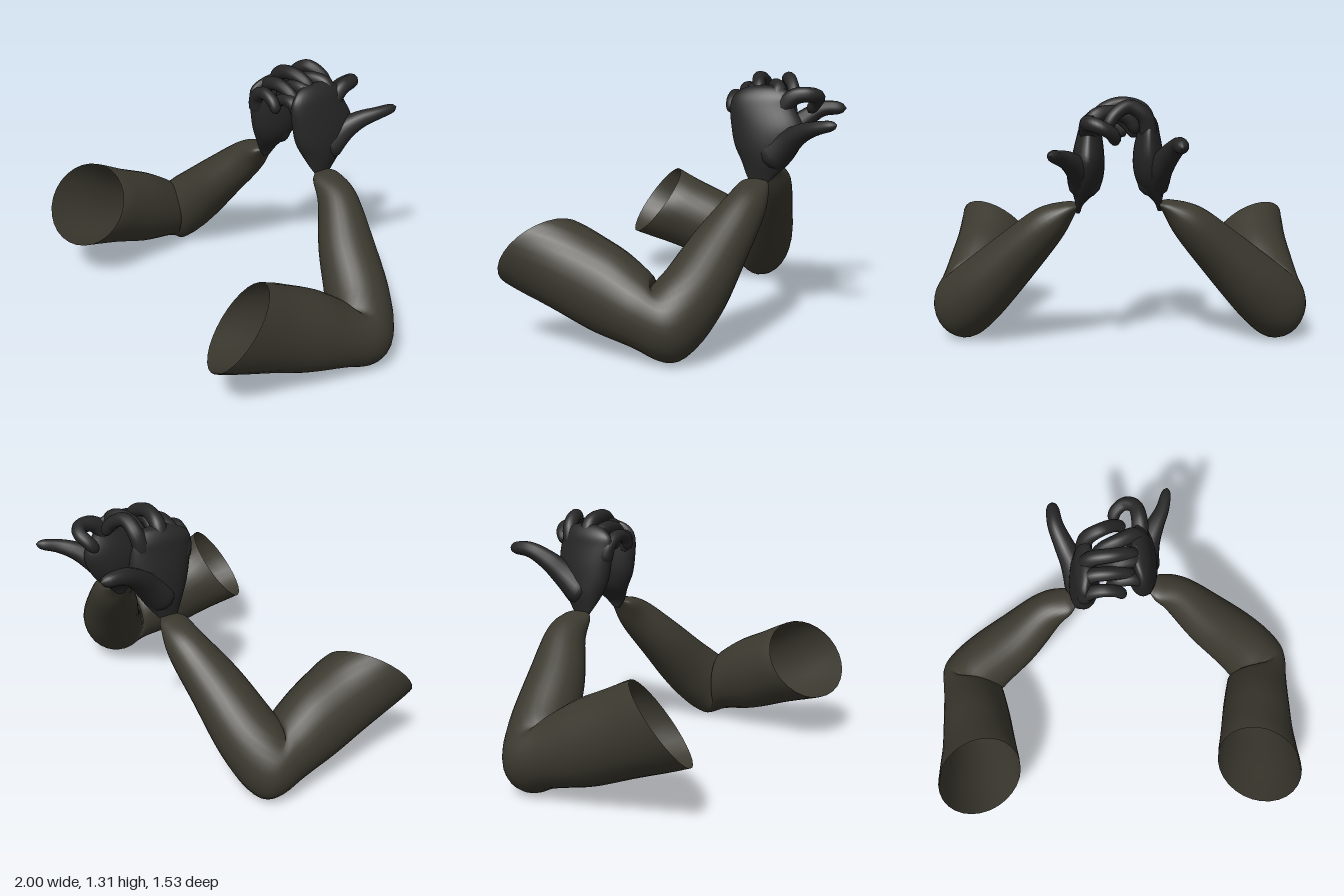
import * as THREE from 'three';
import { mergeVertices } from 'three/addons/utils/BufferGeometryUtils.js';

const V = (x, y, z) => new THREE.Vector3(x, y, z);

// Smooth skin over elliptical sections: [centre, normal, radiusU, radiusV]
function loft(sections, ref, rings, sides = 28) {
  const smooth = (f) => new THREE.CatmullRomCurve3(sections.map(f), false, 'catmullrom', 0.5);
  const centres = smooth((s) => V(...s[0]));
  const normals = smooth((s) => V(...s[1]).normalize());
  const radii = smooth((s) => V(s[2], s[3], 0));
  const pos = [], idx = [];
  for (let i = 0; i <= rings; i++) {
    const t = i / rings;
    const c = centres.getPoint(t), n = normals.getPoint(t).normalize(), r = radii.getPoint(t);
    const u = ref.clone().cross(n).normalize(), v = n.clone().cross(u);
    for (let j = 0; j < sides; j++) {
      const a = (j / sides) * Math.PI * 2;
      const p = c.clone()
        .addScaledVector(u, Math.cos(a) * Math.max(r.x, 0.001))
        .addScaledVector(v, Math.sin(a) * Math.max(r.y, 0.001));
      pos.push(p.x, p.y, p.z);
      if (i < rings) {
        const k = (j + 1) % sides, b = i * sides, d = b + sides;
        idx.push(b + j, b + k, d + j, b + k, d + k, d + j);
      }
    }
  }
  const g = new THREE.BufferGeometry();
  g.setAttribute('position', new THREE.Float32BufferAttribute(pos, 3));
  g.setIndex(idx);
  g.computeVertexNormals();
  return g;
}

// Tapered tube, rounded at both ends
function fingerGeometry(points, r0, r1) {
  const curve = new THREE.CatmullRomCurve3(points.map((p) => V(...p)));
  const N = 32, S = 12;
  const g = new THREE.TubeGeometry(curve, N, 1, S, false);
  const p = g.attributes.position, v = V(0, 0, 0);
  const dome = (d) => Math.sqrt(Math.max(0.002, 1 - (1 - Math.min(1, d)) ** 2));
  for (let i = 0; i <= N; i++) {
    const t = i / N, c = curve.getPointAt(t);
    const r = (r1 + (r0 - r1) * (1 - t) ** 1.5) * dome(t / 0.14) * dome((1 - t) / 0.12);
    for (let j = 0; j <= S; j++) {
      const k = i * (S + 1) + j;
      v.fromBufferAttribute(p, k).sub(c).multiplyScalar(r).add(c);
      p.setXYZ(k, v.x, v.y, v.z);
    }
  }
  g.deleteAttribute('uv');
  g.deleteAttribute('normal');
  const merged = mergeVertices(g, 1e-5);
  merged.computeVertexNormals();
  return merged;
}

export function createModel() {
  const sleeveMat = new THREE.MeshStandardMaterial({ color: 0x3b392f, side: THREE.DoubleSide });
  sleeveMat.name = 'olive sleeve';
  const gloveMat = new THREE.MeshStandardMaterial({ color: 0x262627 });
  gloveMat.name = 'black glove';

  const model = new THREE.Group();
  model.name = 'armsWithClaspedHands';
  const add = (parent, name, geo, mat) => {
    const mesh = new THREE.Mesh(geo, mat);
    mesh.name = name;
    parent.add(mesh);
  };

  // Bent sleeve from the open shoulder end to the pinched wrist
  const sleeve = [
    [[0.75, 0.445, 0.595], [0.42, -0.61, -0.7], 0.23, 0.24],
    [[0.765, 0.375, 0.41], [0.22, -0.42, -0.85], 0.2, 0.218],
    [[0.79, 0.295, 0.21], [0.1, -0.3, -0.95], 0.183, 0.208],
    [[0.82, 0.225, 0.03], [0, -0.12, -1], 0.168, 0.178],
    [[0.84, 0.177, -0.08], [-0.6, 0.3, -0.75], 0.17, 0.184],
    [[0.72, 0.295, -0.17], [-0.7, 0.62, -0.25], 0.168, 0.168],
    [[0.525, 0.495, -0.25], [-0.7, 0.67, -0.25], 0.146, 0.134],
    [[0.355, 0.67, -0.325], [-0.7, 0.67, -0.2], 0.106, 0.098],
    [[0.25, 0.75, -0.335], [-0.75, 0.6, -0.1], 0.08, 0.042],
    [[0.2, 0.77, -0.34], [-0.8, 0.5, 0], 0.045, 0.01],
  ];

  // Palm: [y, x, z, half depth, half thickness]
  const leftPalm = [
    [0.73, 0.205, -0.345, 0.02, 0.01],
    [0.78, 0.195, -0.35, 0.065, 0.022],
    [0.86, 0.165, -0.37, 0.125, 0.068],
    [0.94, 0.155, -0.375, 0.17, 0.082],
    [1.03, 0.15, -0.375, 0.19, 0.078],
    [1.13, 0.145, -0.345, 0.17, 0.06],
    [1.19, 0.14, -0.345, 0.15, 0.045],
    [1.23, 0.125, -0.35, 0.1, 0.03],
    [1.245, 0.12, -0.35, 0.001, 0.001],
  ];
  const rightPalm = [
    [0.73, -0.205, -0.275, 0.02, 0.01],
    [0.78, -0.195, -0.28, 0.06, 0.022],
    [0.86, -0.165, -0.29, 0.11, 0.065],
    [0.94, -0.15, -0.295, 0.148, 0.078],
    [1.03, -0.145, -0.295, 0.165, 0.075],
    [1.12, -0.145, -0.285, 0.165, 0.058],
    [1.18, -0.145, -0.28, 0.148, 0.045],
    [1.225, -0.13, -0.3, 0.1, 0.03],
    [1.24, -0.12, -0.3, 0.001, 0.001],
  ];

  // Interlaced finger paths: [name, points, base radius, tip radius]
  const leftFingers = [
    ['thumb', [[0.155, 0.86, -0.37], [0.19, 0.965, -0.49], [0.232, 1.02, -0.57], [0.275, 1.05, -0.65], [0.305, 1.073, -0.76]], 0.1, 0.027],
    ['indexFinger', [[0.14, 1.1, -0.42], [0.145, 1.19, -0.51], [0.125, 1.2, -0.59], [0.075, 1.185, -0.615], [0.025, 1.15, -0.59], [0.01, 1.1, -0.55]], 0.05, 0.031],
    ['middleFinger', [[0.14, 1.12, -0.41], [0.115, 1.215, -0.42], [0.03, 1.235, -0.38], [-0.05, 1.2, -0.36], [-0.09, 1.13, -0.35]], 0.046, 0.032],
    ['ringFinger', [[0.14, 1.1, -0.3], [0.115, 1.2, -0.29], [0.03, 1.215, -0.27], [-0.05, 1.16, -0.27], [-0.08, 1.1, -0.27]], 0.044, 0.031],
    ['littleFinger', [[0.14, 1.06, -0.24], [0.11, 1.15, -0.21], [0.03, 1.155, -0.2], [-0.03, 1.1, -0.2]], 0.042, 0.028],
  ];
  const rightFingers = [
    ['thumb', [[-0.155, 0.84, -0.27], [-0.2, 0.96, -0.39], [-0.245, 1.04, -0.47], [-0.285, 1.095, -0.56], [-0.3, 1.1, -0.685]], 0.095, 0.035],
    ['indexFinger', [[-0.15, 1.1, -0.38], [-0.125, 1.22, -0.41], [-0.05, 1.268, -0.43], [0.02, 1.23, -0.47], [0.06, 1.16, -0.49]], 0.046, 0.031],
    ['middleFinger', [[-0.15, 1.1, -0.28], [-0.115, 1.235, -0.285], [-0.01, 1.27, -0.285], [0.09, 1.235, -0.31], [0.125, 1.16, -0.32]], 0.046, 0.032],
    ['ringFinger', [[-0.15, 1.08, -0.21], [-0.12, 1.19, -0.215], [-0.02, 1.215, -0.215], [0.07, 1.18, -0.23], [0.1, 1.11, -0.24]], 0.044, 0.031],
    ['littleFinger', [[-0.15, 1.03, -0.17], [-0.13, 1.13, -0.15], [-0.05, 1.175, -0.143], [0.02, 1.15, -0.145], [0.05, 1.09, -0.15]], 0.045, 0.029],
  ];

  const sides = [['left', 1, leftPalm, leftFingers], ['right', -1, rightPalm, rightFingers]];
  for (const [side, m, palm, fingers] of sides) {
    const arm = new THREE.Group();
    arm.name = side + 'Arm';
    model.add(arm);

    // The right forearm reaches a little further forward
    const sections = sleeve.map(([c, n, a, b], i) => [
      [c[0] * m, c[1], c[2] + (m < 0 ? Math.min(0.06, Math.max(0, i - 3) * 0.025) : 0)],
      [n[0] * m, n[1], n[2]], a, b,
    ]);
    add(arm, side + 'Sleeve', loft(sections, V(0, 1, 0), 54), sleeveMat);

    // Gloved hand
    const hand = new THREE.Group();
    hand.name = side + 'Hand';
    arm.add(hand);
    const rows = palm.map(([y, x, z, a, b]) => [[x, y, z], [0, 1, 0], a, b]);
    add(hand, side + 'Palm', loft(rows, V(1, 0, 0), 40), gloveMat);
    for (const [name, points, r0, r1] of fingers) {
      add(hand, `${side} ${name}`, fingerGeometry(points, r0, r1), gloveMat);
    }
  }
  return model;
}
